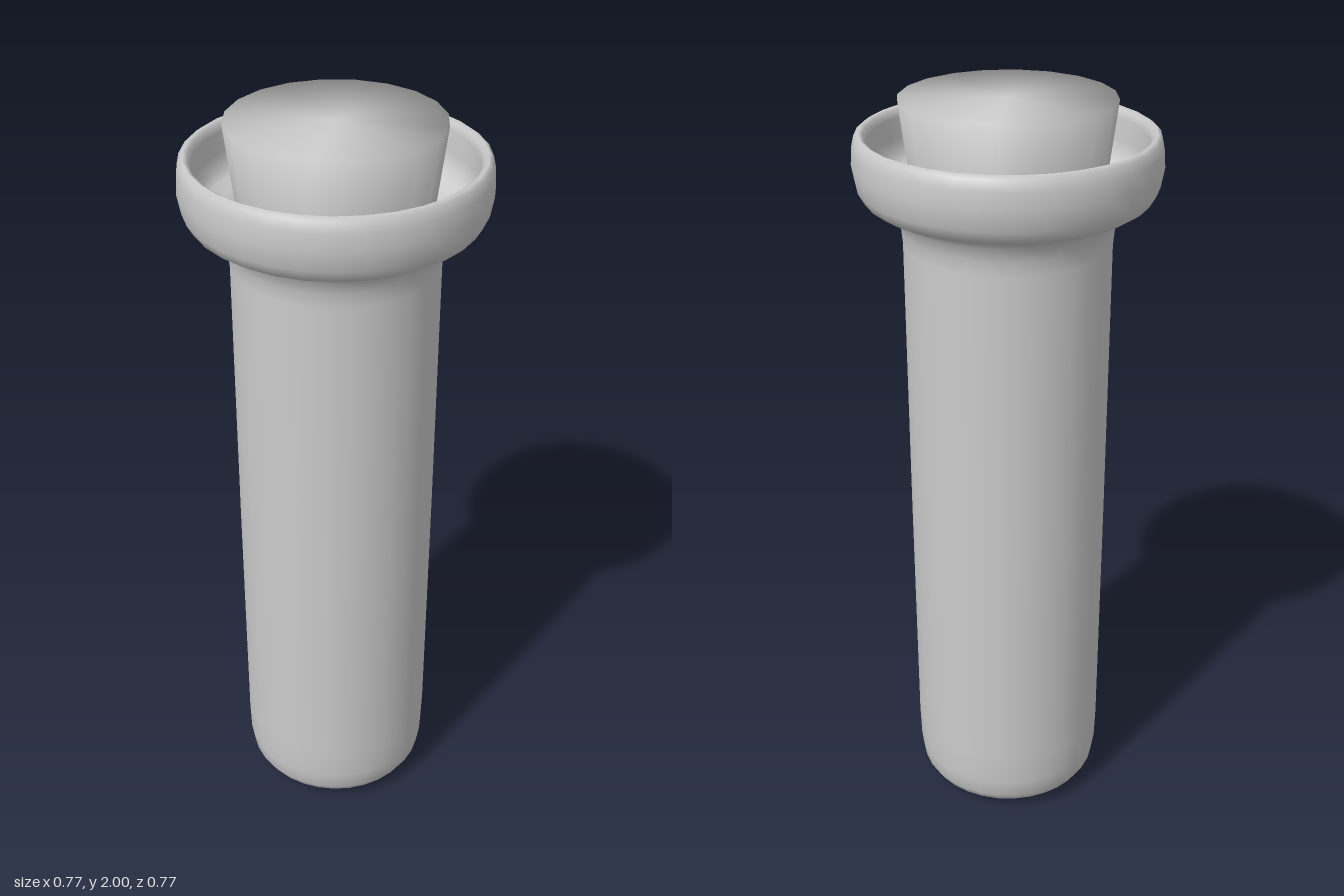
import * as THREE from 'three';
import { mergeVertices } from 'three/addons/utils/BufferGeometryUtils.js';

const grey = new THREE.MeshStandardMaterial({ color: 0xcccccc });

function addPart(group, name, geometry) {
  const mesh = new THREE.Mesh(geometry, grey);
  mesh.name = name;
  group.add(mesh);
  return mesh;
}

// Thick-walled tube: outer wall, flared collar, lip, then the inner wall back down
function tubeGeometry() {
  const outer = [
    [0, 0], [0.1, 0.002], [0.17, 0.008], [0.205, 0.016], [0.232, 0.034], [0.248, 0.06],
    [0.256, 0.11], [0.259, 0.2], [0.262, 0.9], [0.263, 1.64], [0.267, 1.68], [0.278, 1.715],
    [0.297, 1.734], [0.33, 1.744], [0.358, 1.762], [0.374, 1.79], [0.383, 1.84],
    [0.38, 1.885], [0.374, 1.912], [0.363, 1.92],
  ];
  const inner = [
    [0.352, 1.914], [0.345, 1.895], [0.345, 1.84], [0.338, 1.805], [0.32, 1.785], [0.285, 1.772],
    [0.25, 1.75], [0.232, 1.71], [0.225, 1.64], [0.222, 0.2], [0.2, 0.07], [0, 0.04],
  ];
  const profile = [...outer, ...inner].map(([r, y]) => new THREE.Vector2(r, y));
  return new THREE.LatheGeometry(profile, 32);
}

// Tapered stopper, its cap and side sharing normals so the shading rolls over the edge
function stopperGeometry() {
  const geometry = new THREE.CylinderGeometry(0.268, 0.215, 0.42, 20);
  geometry.deleteAttribute('uv');
  geometry.deleteAttribute('normal');
  const merged = mergeVertices(geometry);
  merged.computeVertexNormals();
  return merged;
}

export function createModel() {
  const group = new THREE.Group();
  group.name = 'stopperedTube';
  addPart(group, 'tube', tubeGeometry());
  addPart(group, 'stopper', stopperGeometry()).position.y = 1.79;
  return group;
}
